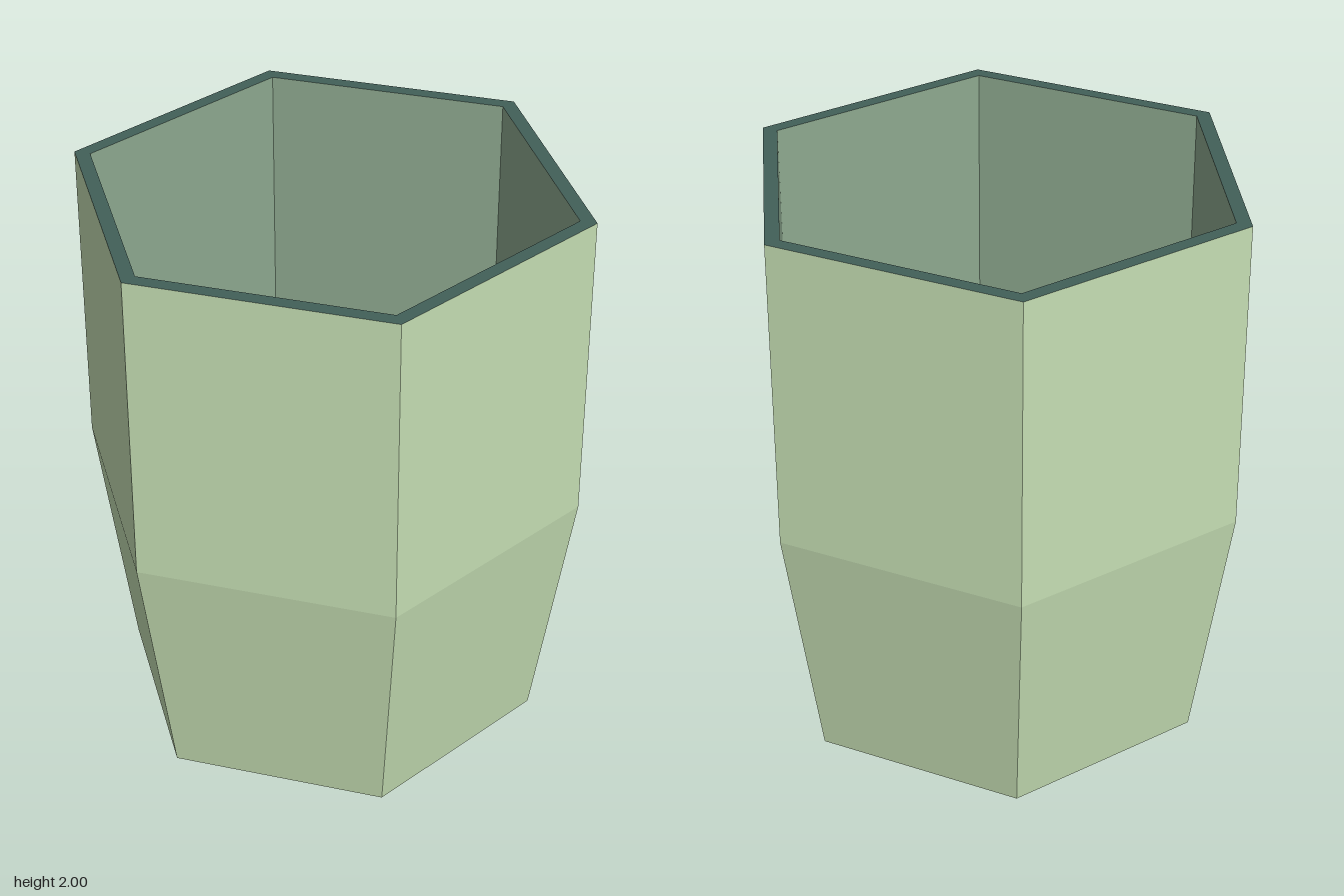
import * as THREE from 'three';

const SIDES = 6;

// Six-sided surface turned from a [radius, height] profile, flat shaded.
// Profiles run up the outside, inwards over the rim and down the inside.
function hexSurface(name, color, profile) {
  const points = profile.map(([r, y]) => new THREE.Vector2(r, y));
  const mesh = new THREE.Mesh(
    new THREE.LatheGeometry(points, SIDES),
    new THREE.MeshStandardMaterial({ color, flatShading: true })
  );
  mesh.name = name;
  return mesh;
}

export function createModel() {
  const group = new THREE.Group();
  group.name = 'hexagonalPot';

  const outerGreen = 0xc6dfb4;
  const innerGreen = 0x8eaa90;
  const darkTeal = 0x426059;

  group.add(
    // tapered lower half and straight upper half
    hexSurface('outerWall', outerGreen, [[0.737, 0.03], [0.872, 0.91], [0.872, 2]]),
    // flat top edge
    hexSurface('rim', darkTeal, [[0.872, 2], [0.817, 2]]),
    // inside walls following the outer shape, closed by the floor
    hexSurface('innerWall', innerGreen, [[0.817, 2], [0.817, 0.91], [0.696, 0.03]]),
    hexSurface('floor', innerGreen, [[0.696, 0.03], [0, 0.03]]),
    // small recessed foot below the outer wall
    hexSurface('wallUnderside', innerGreen, [[0.696, 0.03], [0.737, 0.03]]),
    hexSurface('footSide', innerGreen, [[0.69, 0], [0.696, 0.03]]),
    hexSurface('footBottom', darkTeal, [[0, 0], [0.69, 0]])
  );
  return group;
}
